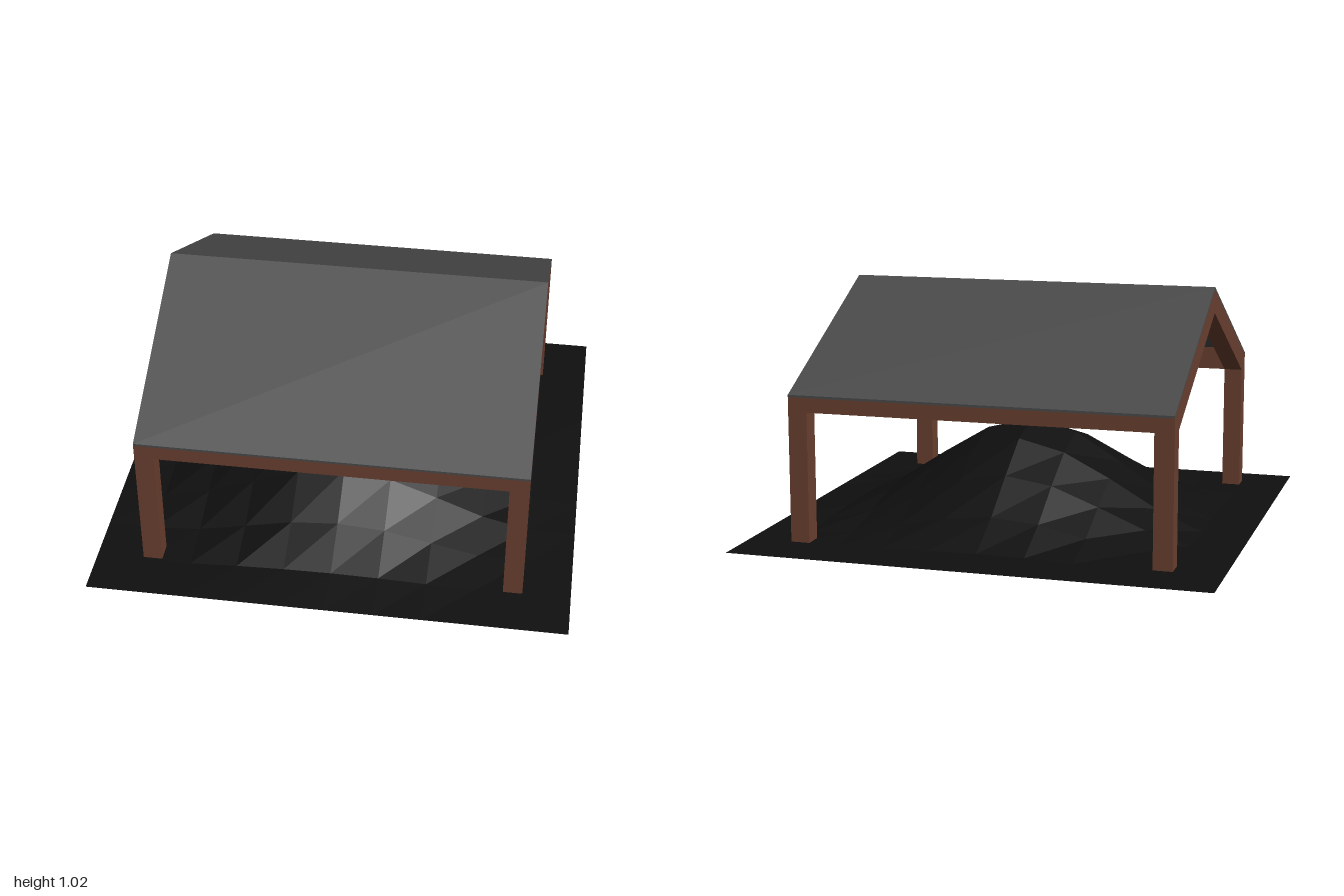
import * as THREE from 'three';

const wood = new THREE.MeshStandardMaterial({ color: 0x6b4030, flatShading: true });
const roofing = new THREE.MeshStandardMaterial({ color: 0x4a4a4a, flatShading: true });
const soil = new THREE.MeshStandardMaterial({ color: 0x0f0f0f, side: THREE.DoubleSide, flatShading: true });

// Extrude a [z, y] outline along x, centred on the given x
function alongX(name, outline, width, x, material) {
  const shape = new THREE.Shape(outline.map(([z, y]) => new THREE.Vector2(z, y)));
  const geometry = new THREE.ExtrudeGeometry(shape, { depth: width, bevelEnabled: false });
  geometry.translate(0, 0, -width / 2).rotateY(-Math.PI / 2);
  const mesh = new THREE.Mesh(geometry, material);
  mesh.name = name;
  mesh.position.x = x;
  return mesh;
}

// Radial mound height, read between evenly spaced steps
const heights = [0.42, 0.37, 0.25, 0.12, 0.02, 0];
function moundHeight(r) {
  if (r >= 1) return 0;
  const i = Math.floor(r * 5);
  return THREE.MathUtils.lerp(heights[i], heights[i + 1], r * 5 - i);
}

export function createModel() {
  const model = new THREE.Group();

  // Ground sheet rising to a mound in the middle
  const ground = new THREE.PlaneGeometry(2, 2, 10, 10).rotateX(-Math.PI / 2);
  const p = ground.attributes.position;
  for (let i = 0; i < p.count; i++) p.setY(i, moundHeight(Math.hypot(p.getX(i), p.getZ(i)) + 1e-6));
  ground.computeVertexNormals();
  const mound = new THREE.Mesh(ground, soil);
  mound.name = 'groundMound';
  model.add(mound);

  // Gable frames: two posts and two rafters in one outline
  const frame = [
    [0.8, 0.01], [0.8, 0.615], [0, 1.015], [-0.8, 0.615], [-0.8, 0.01],
    [-0.72, 0.01], [-0.72, 0.555], [0, 0.915], [0.72, 0.555], [0.72, 0.01],
  ];
  for (const s of [-1, 1]) {
    model.add(alongX(s > 0 ? 'leftGableFrame' : 'rightGableFrame', frame, 0.08, s * 0.76, wood));
  }

  // Eave beams and thin roof panels on each slope
  for (const s of [-1, 1]) {
    const end = s > 0 ? 'front' : 'back';
    const beam = [[0.72, 0.555], [0.8, 0.555], [0.8, 0.615], [0.72, 0.655]];
    const panel = [[0.8, 0.615], [0.8, 0.625], [0, 1.025], [0, 1.015]];
    const mirrored = (pts) => pts.map(([z, y]) => [s * z, y]);
    model.add(alongX(end + 'EaveBeam', mirrored(beam), 1.44, 0, wood));
    model.add(alongX(end + 'RoofPanel', mirrored(panel), 1.6, 0, roofing));
  }

  return model;
}
